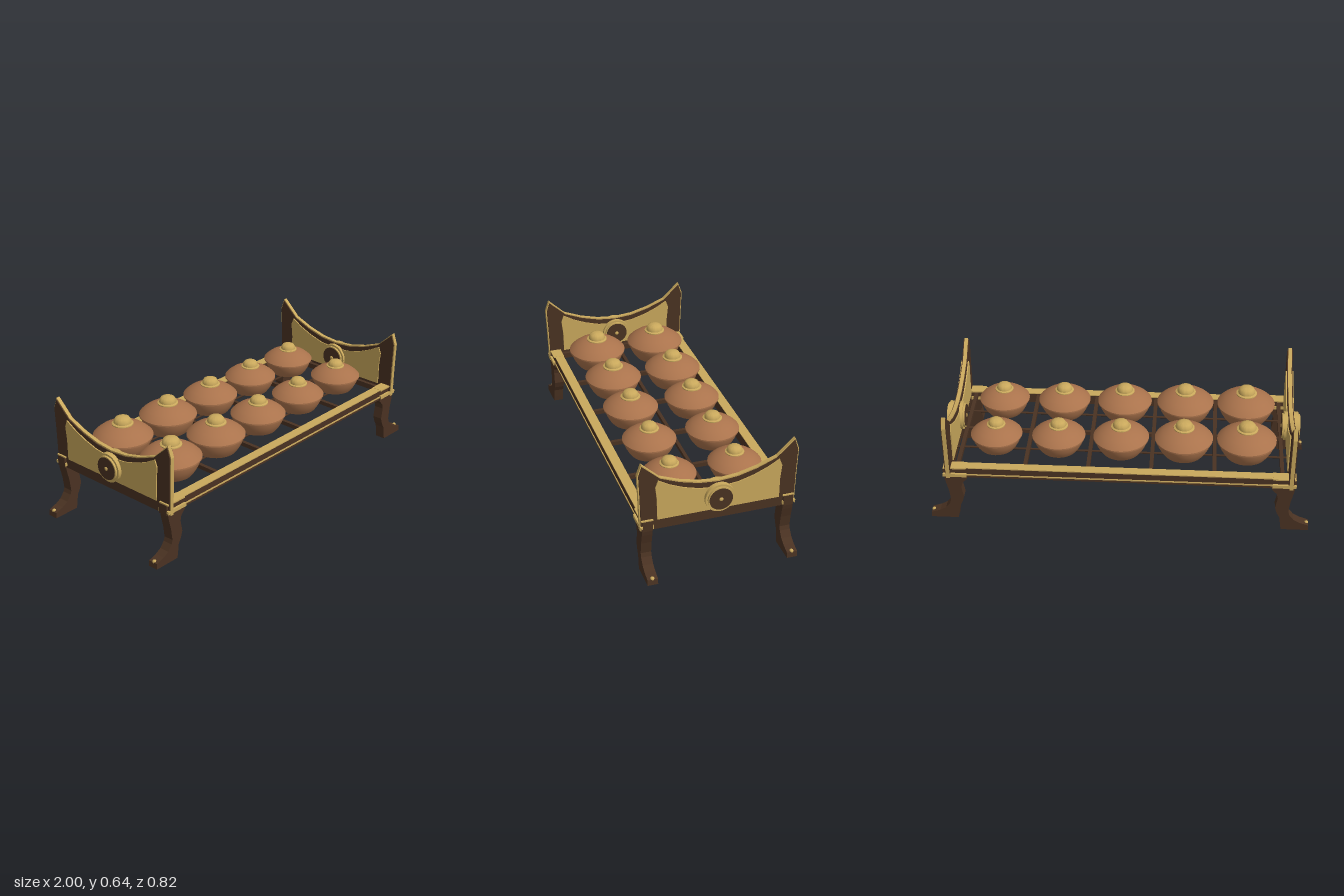
import * as THREE from 'three';
import { toCreasedNormals } from 'three/addons/utils/BufferGeometryUtils.js';

const material = (name, color) => new THREE.MeshStandardMaterial({ name, color });

export function createModel() {
  const model = new THREE.Group();
  const wood = material('dark wood', 0x4a3222);
  const gold = material('gold', 0xc9a85c);
  const copper = material('copper', 0xaa734c);
  copper.side = THREE.DoubleSide;

  const add = (parent, name, geometry, mat, x = 0, y = 0, z = 0) => {
    const mesh = new THREE.Mesh(geometry, mat);
    mesh.name = name;
    mesh.position.set(x, y, z);
    parent.add(mesh);
    return mesh;
  };
  const box = (parent, name, mat, w, h, d, x, y, z) =>
    add(parent, name, new THREE.BoxGeometry(w, h, d), mat, x, y, z);
  const points = (list) => list.map(([x, y]) => new THREE.Vector2(x, y));
  const lathe = (list) => toCreasedNormals(new THREE.LatheGeometry(points(list), 40), 0.6);
  const extrude = (list, depth) => {
    const g = new THREE.ExtrudeGeometry(new THREE.Shape(points(list)), { depth, bevelEnabled: false });
    return g.translate(0, 0, -depth / 2);
  };
  // Mirrors a half outline (bottom to middle of the top) and stands it across x
  const endPlate = (half, thickness) => {
    const other = half.slice(0, -1).reverse().map(([z, y]) => [-z, y]);
    return extrude([...half, ...other], thickness).rotateY(Math.PI / 2);
  };

  // Long rails with gold tops and a gold bead along the outer face
  for (const s of [-1, 1]) {
    box(model, 'sideRail', wood, 1.84, 0.055, 0.05, 0, 0.2925, s * 0.363);
    box(model, 'railTop', gold, 1.76, 0.005, 0.05, 0, 0.3225, s * 0.363);
    box(model, 'railBead', gold, 1.84, 0.007, 0.006, 0, 0.283, s * 0.389);
    add(model, 'supportRod', new THREE.CylinderGeometry(0.006, 0.006, 1.76, 10).rotateZ(Math.PI / 2),
      wood, 0, 0.305, s * 0.17);
  }

  // Open lattice under the gongs
  box(model, 'centreBar', wood, 1.76, 0.02, 0.018, 0, 0.305, 0);
  for (const x of [-0.847, -0.495, -0.165, 0.165, 0.495, 0.847])
    box(model, 'crossBar', wood, 0.02, 0.022, 0.69, x, 0.305, 0);

  // End boards: wooden faces, gold rim, gold inlay and a round medallion
  const rim = [[0.4, 0.263], [0.406, 0.45], [0.412, 0.58], [0.391, 0.641], [0.3, 0.554],
    [0.2, 0.514], [0.1, 0.488], [0, 0.479]];
  const face = [[0.395, 0.263], [0.4, 0.45], [0.406, 0.578], [0.389, 0.632], [0.297, 0.547],
    [0.198, 0.507], [0.1, 0.481], [0, 0.472]];
  const inlay = [[0.315, 0.32], [0.316, 0.43], [0.324, 0.505], [0.31, 0.543], [0.25, 0.508],
    [0.18, 0.478], [0.1, 0.455], [0, 0.445]];
  const disc = (r, length) => new THREE.CylinderGeometry(r, r, length, 40).rotateZ(Math.PI / 2);

  // Leg outline for the +x end, with a foot turned outward
  const legOutline = [[0.795, 0.275], [0.795, 0.257], [0.822, 0.228], [0.828, 0.2], [0.817, 0.14],
    [0.828, 0.105], [0.844, 0.075], [0.85, 0.03], [0.855, 0], [1, 0], [0.997, 0.03], [0.95, 0.046],
    [0.918, 0.064], [0.894, 0.095], [0.887, 0.117], [0.895, 0.18], [0.908, 0.235], [0.915, 0.275]];

  for (const s of [-1, 1]) {
    const end = new THREE.Group();
    end.name = 'endAssembly';
    end.rotation.y = s > 0 ? 0 : Math.PI;
    model.add(end);
    add(end, 'boardRim', endPlate(rim, 0.02), gold, 0.893);
    add(end, 'endBoard', endPlate(face, 0.03), wood, 0.893);
    add(end, 'inlayPanel', endPlate(inlay, 0.042), gold, 0.893);
    add(end, 'medallionBase', disc(0.077, 0.074), gold, 0.896, 0.393);
    add(end, 'medallionRing', disc(0.066, 0.094), gold, 0.896, 0.393);
    add(end, 'medallionDisc', disc(0.06, 0.097), wood, 0.896, 0.393);
    for (const side of [-1, 1]) {
      add(end, 'medallionStud', new THREE.SphereGeometry(0.011, 16, 10).scale(0.5, 1, 1),
        gold, 0.896 + side * 0.0485, 0.393);
      add(end, 'leg', extrude(legOutline, 0.054), wood, 0, 0, side * 0.365);
      add(end, 'toeStud', new THREE.SphereGeometry(0.011, 14, 10), gold, 0.988, 0.03, side * 0.365);
      // Gold corner cap: flat plate with two short returns
      box(end, 'cornerCap', gold, 0.125, 0.008, 0.068, 0.857, 0.287, side * 0.367);
      box(end, 'capReturn', gold, 0.125, 0.014, 0.005, 0.857, 0.28, side * 0.3985);
      box(end, 'capReturn', gold, 0.125, 0.014, 0.005, 0.857, 0.28, side * 0.3355);
      box(end, 'capTop', gold, 0.12, 0.007, 0.06, 0.857, 0.3225, side * 0.366);
    }
  }

  // Two rows of bossed gongs, shrinking toward +x
  const bowl = lathe([[0.108, 0], [0.124, 0.022], [0.139, 0.05], [0.147, 0.075], [0.149, 0.084],
    [0.156, 0.086], [0.156, 0.094], [0.143, 0.108], [0.115, 0.13], [0.08, 0.147], [0.05, 0.156], [0, 0.16]]);
  const boss = lathe([[0.056, 0.15], [0.056, 0.159], [0.046, 0.163], [0.045, 0.176],
    [0.036, 0.189], [0.02, 0.196], [0, 0.198]]);
  [1, 0.98, 0.94, 0.9, 0.87].forEach((size, i) => {
    for (const s of [-1, 1]) {
      const gong = new THREE.Group();
      gong.name = 'gong';
      gong.position.set(-0.66 + i * 0.33, 0.324, s * 0.172);
      gong.scale.setScalar(size);
      add(gong, 'gongBowl', bowl, copper);
      add(gong, 'gongBoss', boss, gold);
      model.add(gong);
    }
  });
  return model;
}
